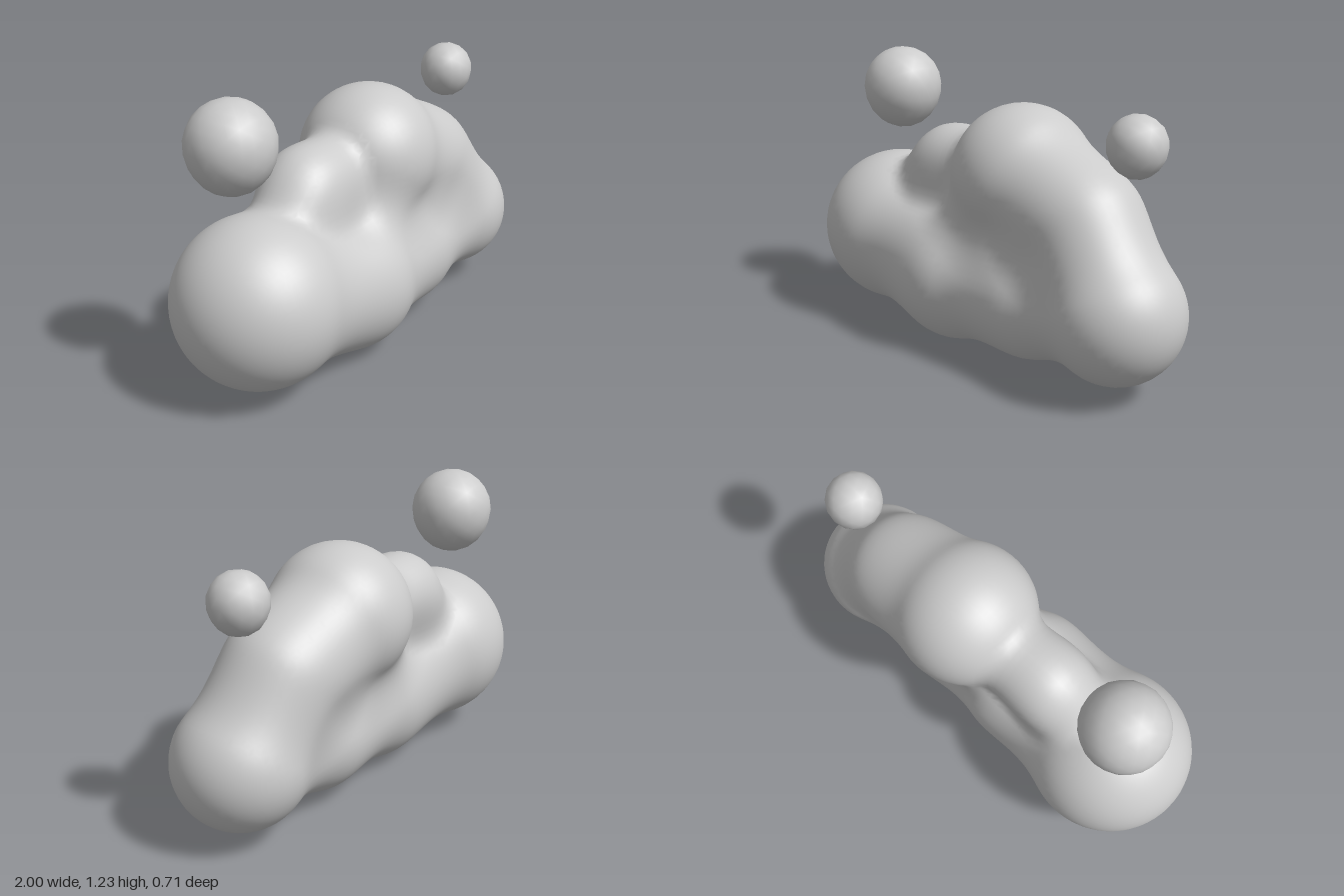
import * as THREE from 'three';

// Puffs of the cloud body: x, y, z, radius
const PUFFS = [
  [-0.645, 0.40, 0.0, 0.355],
  [-0.15, 0.31, 0.035, 0.31],
  [0.28, 0.295, 0.0, 0.265],
  [0.72, 0.34, -0.015, 0.28],
  [0.14, 0.785, -0.055, 0.305],
  [-0.3, 0.755, -0.045, 0.18],
  [0.505, 0.65, -0.05, 0.25],
];
const LEVEL = 0.3; // strength at a puff's own radius
const REACH = 1 / Math.sqrt(1 - Math.cbrt(LEVEL)); // reach of a puff, in radii

// Sum of soft puffs that fade out at their reach; negative inside the cloud
function field(p) {
  let sum = 0;
  for (const [x, y, z, r] of PUFFS) {
    const t = Math.hypot(p[0] - x, p[1] - y, p[2] - z) / (r * REACH);
    if (t < 1) sum += (1 - t * t) ** 3;
  }
  return LEVEL - sum;
}

function gradient(p) {
  const e = 0.002;
  return [0, 1, 2].map((a) => {
    const hi = [...p], lo = [...p];
    hi[a] += e;
    lo[a] -= e;
    return (field(hi) - field(lo)) / (2 * e);
  });
}

// Skins the field: one vertex per crossed grid cell, one quad per crossed edge
function skinGeometry() {
  const h = 0.035, min = [-1.1, -0.1, -0.5], n = [64, 38, 30];
  const stride = [1, n[0], n[0] * n[1]];
  const at = (c) => c.map((v, a) => min[a] + v * h);
  const id = (c) => c[0] + c[1] * stride[1] + c[2] * stride[2];
  const values = new Float32Array(n[0] * n[1] * n[2]);
  const eachCell = (start, end, visit) => {
    for (let k = start; k < n[2] - end; k++)
      for (let j = start; j < n[1] - end; j++)
        for (let i = start; i < n[0] - end; i++) visit([i, j, k]);
  };
  eachCell(0, 0, (c) => { values[id(c)] = field(at(c)); });

  const positions = [], normals = [], indices = [], vertexOf = new Map();
  eachCell(0, 1, (c) => {
    const sum = [0, 0, 0];
    let count = 0;
    for (let a = 0; a < 3; a++) {
      const b = (a + 1) % 3, d = (a + 2) % 3;
      for (let m = 0; m < 4; m++) {
        const q = [...c];
        q[b] += m & 1;
        q[d] += m >> 1;
        const v0 = values[id(q)], v1 = values[id(q) + stride[a]];
        if ((v0 < 0) === (v1 < 0)) continue;
        q[a] += v0 / (v0 - v1);
        at(q).forEach((v, s) => { sum[s] += v; });
        count++;
      }
    }
    if (!count) return;
    let p = sum.map((v) => v / count);
    // Settle the vertex exactly on the surface
    for (let s = 0; s < 3; s++) {
      const g = gradient(p), f = field(p);
      const len2 = Math.max(0.3, g[0] * g[0] + g[1] * g[1] + g[2] * g[2]);
      p = p.map((v, a) => v - (f * g[a]) / len2);
    }
    const g = gradient(p), len = Math.hypot(...g) || 1;
    vertexOf.set(id(c), positions.length / 3);
    positions.push(...p);
    normals.push(...g.map((v) => v / len));
  });
  eachCell(1, 1, (c) => {
    const o = id(c);
    for (let a = 0; a < 3; a++) {
      const inside = values[o] < 0;
      if (inside === values[o + stride[a]] < 0) continue;
      const b = stride[(a + 1) % 3], d = stride[(a + 2) % 3];
      const q = [o - b - d, o - d, o, o - b].map((v) => vertexOf.get(v));
      if (!inside) q.reverse();
      indices.push(q[0], q[1], q[2], q[0], q[2], q[3]);
    }
  });

  const geometry = new THREE.BufferGeometry();
  geometry.setAttribute('position', new THREE.Float32BufferAttribute(positions, 3));
  geometry.setAttribute('normal', new THREE.Float32BufferAttribute(normals, 3));
  geometry.setIndex(indices);
  return geometry;
}

// Small loose puff, drawn out slightly at the bottom
function loosePuff(name, radius, detail, position, material) {
  const geometry = new THREE.IcosahedronGeometry(radius, detail);
  const pos = geometry.attributes.position;
  for (let i = 0; i < pos.count; i++) {
    const y = pos.getY(i);
    if (y < 0) pos.setY(i, y * 1.1);
  }
  const mesh = new THREE.Mesh(geometry, material);
  mesh.name = name;
  mesh.position.set(...position);
  return mesh;
}

export function createModel() {
  const group = new THREE.Group();
  group.name = 'cloud';
  const material = new THREE.MeshStandardMaterial({ color: 0xcccccc });

  const body = new THREE.Mesh(skinGeometry(), material);
  body.name = 'cloudBody';
  group.add(body);

  group.add(loosePuff('rightLoosePuff', 0.18, 3, [-0.695, 1.055, -0.065], material));
  group.add(loosePuff('leftLoosePuff', 0.12, 2, [0.75, 1.02, -0.065], material));
  return group;
}
